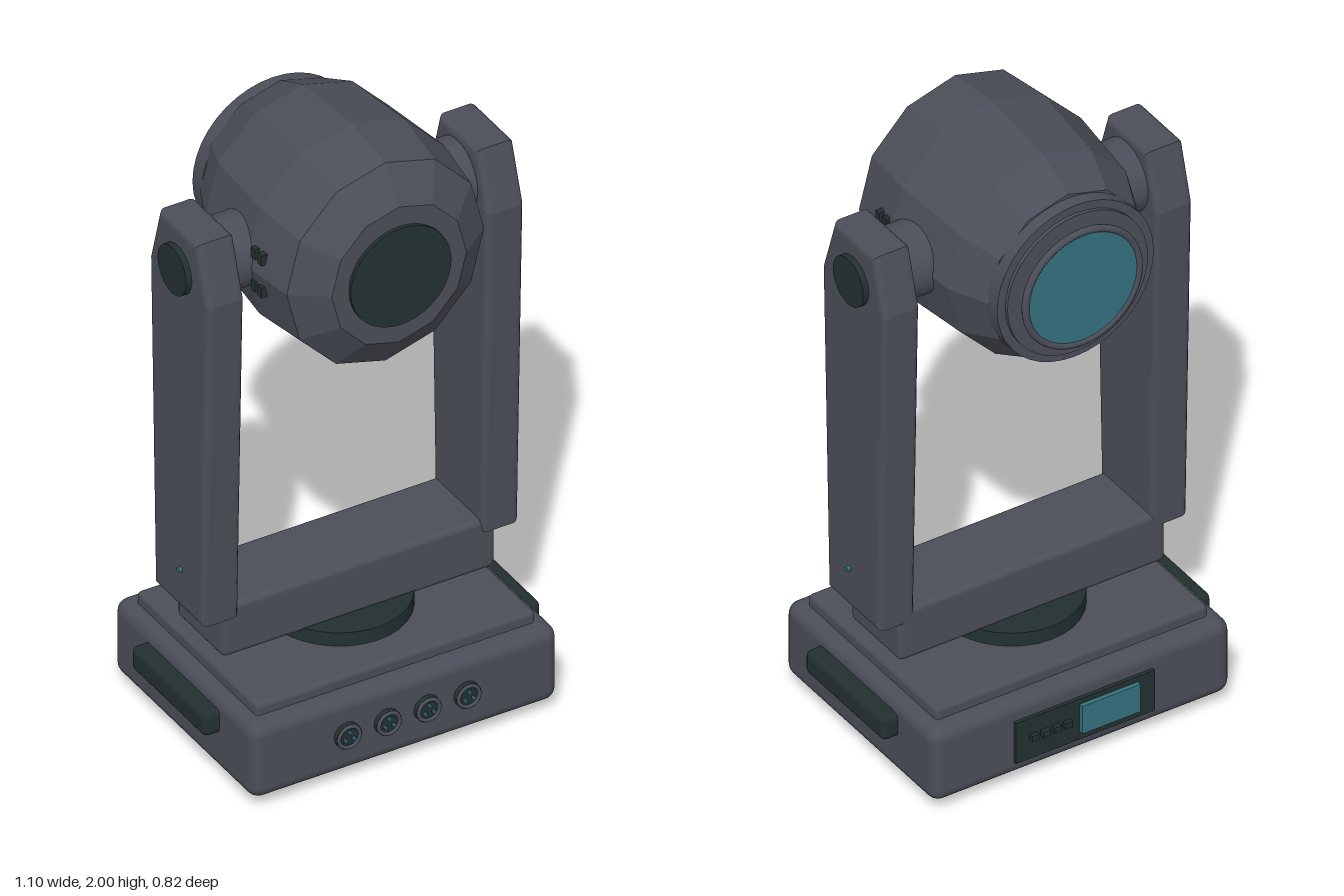
import * as THREE from 'three';
import { RoundedBoxGeometry } from 'three/addons/geometries/RoundedBoxGeometry.js';

export function createModel() {
  const root = new THREE.Group();
  const material = (name, color) => {
    const m = new THREE.MeshStandardMaterial({ color });
    m.name = name;
    return m;
  };
  const body = material('slate grey', 0x4b4e58);
  const dark = material('dark green black', 0x233030);
  const teal = material('teal', 0x35717f);

  const add = (name, geometry, mat, x = 0, y = 0, z = 0, parent = root) => {
    const mesh = new THREE.Mesh(geometry, mat);
    mesh.name = name;
    mesh.position.set(x, y, z);
    parent.add(mesh);
    return mesh;
  };
  const rounded = (w, h, d, r) => new RoundedBoxGeometry(w, h, d, 3, r);
  const box = (w, h, d) => new THREE.BoxGeometry(w, h, d);
  const disc = (r, h, n = 32) => new THREE.CylinderGeometry(r, r, h, n);
  const discZ = (r, h, n) => disc(r, h, n).rotateX(Math.PI / 2);
  const discX = (r, h, n) => disc(r, h, n).rotateZ(Math.PI / 2);

  // Base, top plate and turntable
  add('base', rounded(1, 0.25, 0.77, 0.04), body, 0, 0.16, 0);
  add('topPlate', rounded(0.91, 0.07, 0.66, 0.015), body, 0, 0.287, 0);
  add('turntable', disc(0.227, 0.05).scale(0.955, 1, 1), dark, 0, 0.342, 0);

  // Feet and side handles
  for (const x of [-1, 1]) {
    for (const z of [-1, 1]) add('foot', disc(0.048, 0.045, 24), dark, x * 0.38, 0.0225, z * 0.265);
    add('handle', rounded(0.08, 0.08, 0.405, 0.02), dark, x * 0.51, 0.205, 0);
  }

  // Front connectors, each with three pins
  for (const x of [-0.195, -0.065, 0.065, 0.195]) {
    const connector = new THREE.Group();
    connector.name = 'connector';
    connector.position.set(x, 0.165, 0.385);
    root.add(connector);
    add('socket', discZ(0.041, 0.03, 24), dark, 0, 0, 0, connector);
    add('socketRim', new THREE.TorusGeometry(0.034, 0.006, 8, 24), body, 0, 0, 0.015, connector);
    for (let i = 0; i < 3; i++) {
      const a = Math.PI / 2 + (i * Math.PI * 2) / 3;
      add('pin', discZ(0.006, 0.008, 8), teal, 0.016 * Math.cos(a), 0.016 * Math.sin(a), 0.017, connector);
    }
  }

  // Rear control panel
  add('controlPanel', box(0.465, 0.14, 0.02), dark, 0, 0.155, -0.386);
  add('screen', box(0.195, 0.095, 0.016), teal, -0.078, 0.16, -0.402);
  for (let i = 0; i < 4; i++) add('button', box(0.025, 0.02, 0.02), dark, 0.063 + i * 0.037, 0.16, -0.4);

  // Yoke crossbar
  add('crossbar', rounded(0.89, 0.175, 0.256, 0.02), body, 0, 0.4425, 0);

  // Yoke arms: side outline extruded across the thickness
  const outline = [[-0.135, 0.49], [0.13, 0.49], [0.157, 1.59], [0.105, 1.775], [-0.105, 1.775], [-0.165, 1.59]];
  const armGeometry = new THREE.ExtrudeGeometry(new THREE.Shape(outline.map(([x, y]) => new THREE.Vector2(x, y))), {
    depth: 0.085, bevelThickness: 0.018, bevelSize: 0.018, bevelOffset: -0.018, bevelSegments: 3,
  }).translate(0, 0, -0.0425).rotateY(Math.PI / 2);
  const pivotY = 1.638;
  for (const s of [-1, 1]) {
    add('arm', armGeometry, body, s * 0.456, 0, 0);
    add('pivotCap', discX(0.078, 0.04), dark, s * 0.515, pivotY, 0);
    add('trunnion', discX(0.112, 0.14), body, s * 0.34, pivotY, 0);
    add('indicator', discX(0.008, 0.02, 10), teal, s * 0.518, 0.625, 0.02);
  }

  // Faceted head
  const head = new THREE.Group();
  head.name = 'head';
  head.position.y = pivotY;
  root.add(head);
  const profile = [[0, -0.305], [0.275, -0.305], [0.335, -0.18], [0.3625, 0.085], [0.337, 0.27], [0.23, 0.345], [0, 0.345]];
  const shell = new THREE.LatheGeometry(profile.map(([r, z]) => new THREE.Vector2(r, z)), 12)
    .rotateX(Math.PI / 2).scale(0.955, 1, 1).toNonIndexed();
  shell.computeVertexNormals();
  add('headShell', shell, body, 0, 0, 0, head);
  add('frontCap', discZ(0.164, 0.02, 40), dark, 0, 0, 0.346, head);

  // Rear bezel and lens
  add('rearRing', discZ(0.262, 0.05, 40), body, 0, 0, -0.32, head);
  add('rearStep', discZ(0.235, 0.025, 40), body, 0, 0, -0.344, head);
  add('lensRing', new THREE.TorusGeometry(0.19, 0.011, 10, 48), body, 0, 0, -0.379, head);
  add('lens', discZ(0.184, 0.009, 48), teal, 0, 0, -0.379, head);

  // Side vents
  for (const s of [-1, 1])
    for (const y of [-0.055, 0.055])
      for (const z of [0.115, 0.15])
        add('vent', box(0.024, 0.034, 0.02), dark, s * 0.327, y, z, head);

  return root;
}
